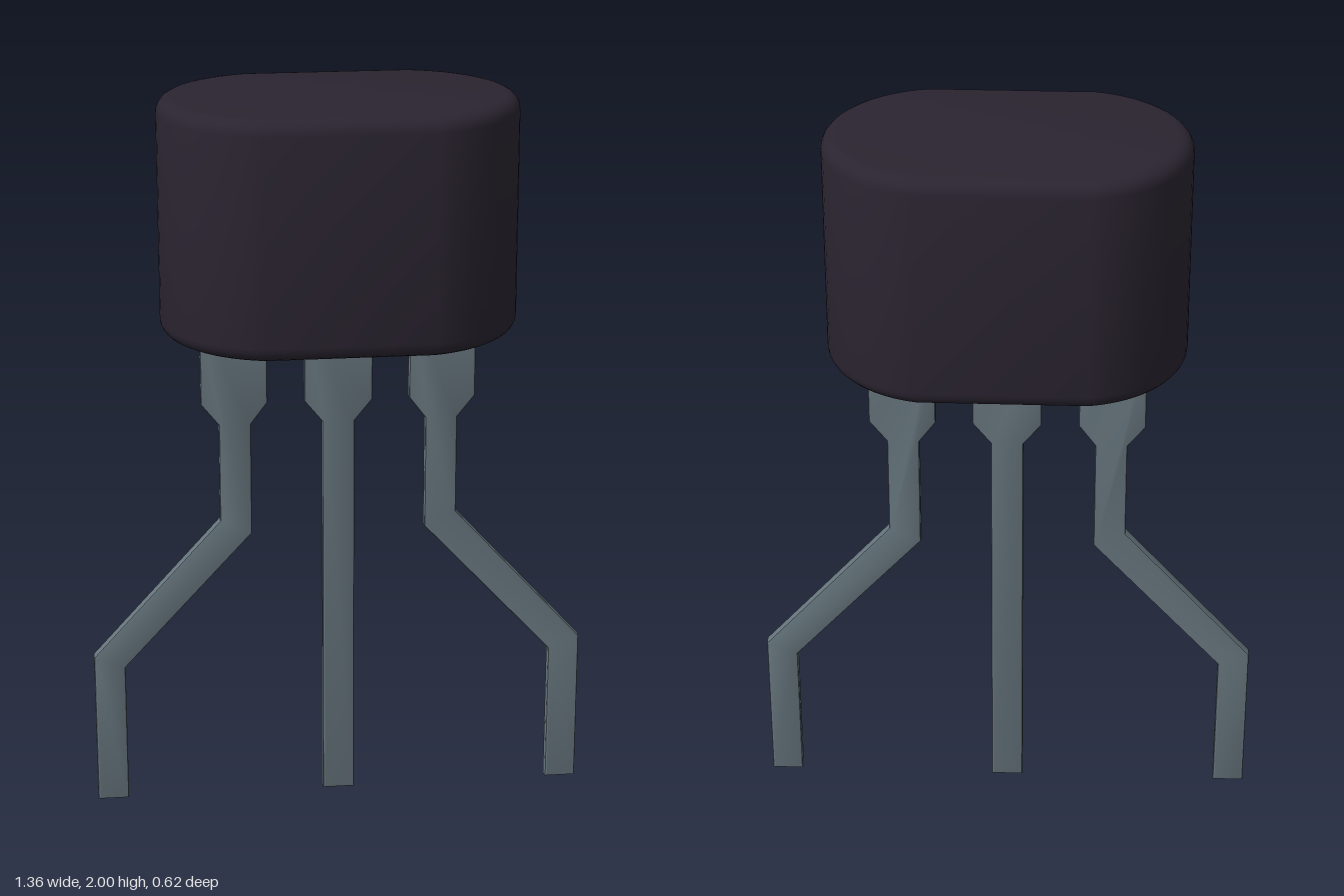
import * as THREE from 'three';
import { toCreasedNormals } from 'three/addons/utils/BufferGeometryUtils.js';

const bodyMaterial = new THREE.MeshStandardMaterial({ color: 0x2a2430 });
const legMaterial = new THREE.MeshStandardMaterial({ color: 0x66757d });

// Rounded-end case with softened top and bottom rims
function makeBody() {
  const bottom = 1.365, top = 2, bevel = 0.04;
  const radius = 0.316 - bevel, centre = 0.161;
  const angle = Math.asin((0.31 - bevel) / radius);
  const outline = new THREE.Shape();
  outline.absarc(centre, 0, radius, -angle, angle, false);
  outline.absarc(-centre, 0, radius, Math.PI - angle, Math.PI + angle, false);
  outline.closePath();
  const geometry = new THREE.ExtrudeGeometry(outline, {
    depth: top - bottom - 2 * bevel,
    bevelThickness: bevel, bevelSize: bevel, bevelSegments: 5, curveSegments: 14,
  });
  geometry.rotateX(-Math.PI / 2).translate(0, bottom + bevel, 0);
  const body = new THREE.Mesh(toCreasedNormals(geometry, 0.6), bodyMaterial);
  body.name = 'body';
  return body;
}

// Flat metal lead cut from an outline, with fine bevelled edges
function makeLeg(name, points, side = 1) {
  const bevel = 0.006, back = -0.024, front = 0.011;
  const shape = new THREE.Shape(points.map(([x, y]) => new THREE.Vector2(x * side, y)));
  const geometry = new THREE.ExtrudeGeometry(shape, {
    depth: front - back - 2 * bevel,
    bevelThickness: bevel, bevelSize: bevel, bevelOffset: -bevel, bevelSegments: 2,
  });
  geometry.translate(0, 0, back + bevel);
  const leg = new THREE.Mesh(toCreasedNormals(geometry, 0.5), legMaterial);
  leg.name = name;
  return leg;
}

export function createModel() {
  const group = new THREE.Group();
  group.name = 'transistor';

  // Straight centre lead with a wide shoulder
  const middle = [
    [-0.093, 1.41], [-0.093, 1.16], [-0.044, 1.1], [-0.044, 0],
    [0.044, 0], [0.044, 1.1], [0.093, 1.16], [0.093, 1.41],
  ];
  // Outer lead, splayed outward by two bends
  const outer = [
    [0.193, 1.41], [0.193, 1.16], [0.238, 1.1], [0.238, 0.785], [0.594, 0.4], [0.594, 0],
    [0.68, 0], [0.68, 0.435], [0.325, 0.825], [0.325, 1.1], [0.373, 1.16], [0.373, 1.41],
  ];

  group.add(
    makeBody(),
    makeLeg('middleLeg', middle),
    makeLeg('leftLeg', outer, 1),
    makeLeg('rightLeg', outer, -1),
  );
  return group;
}
